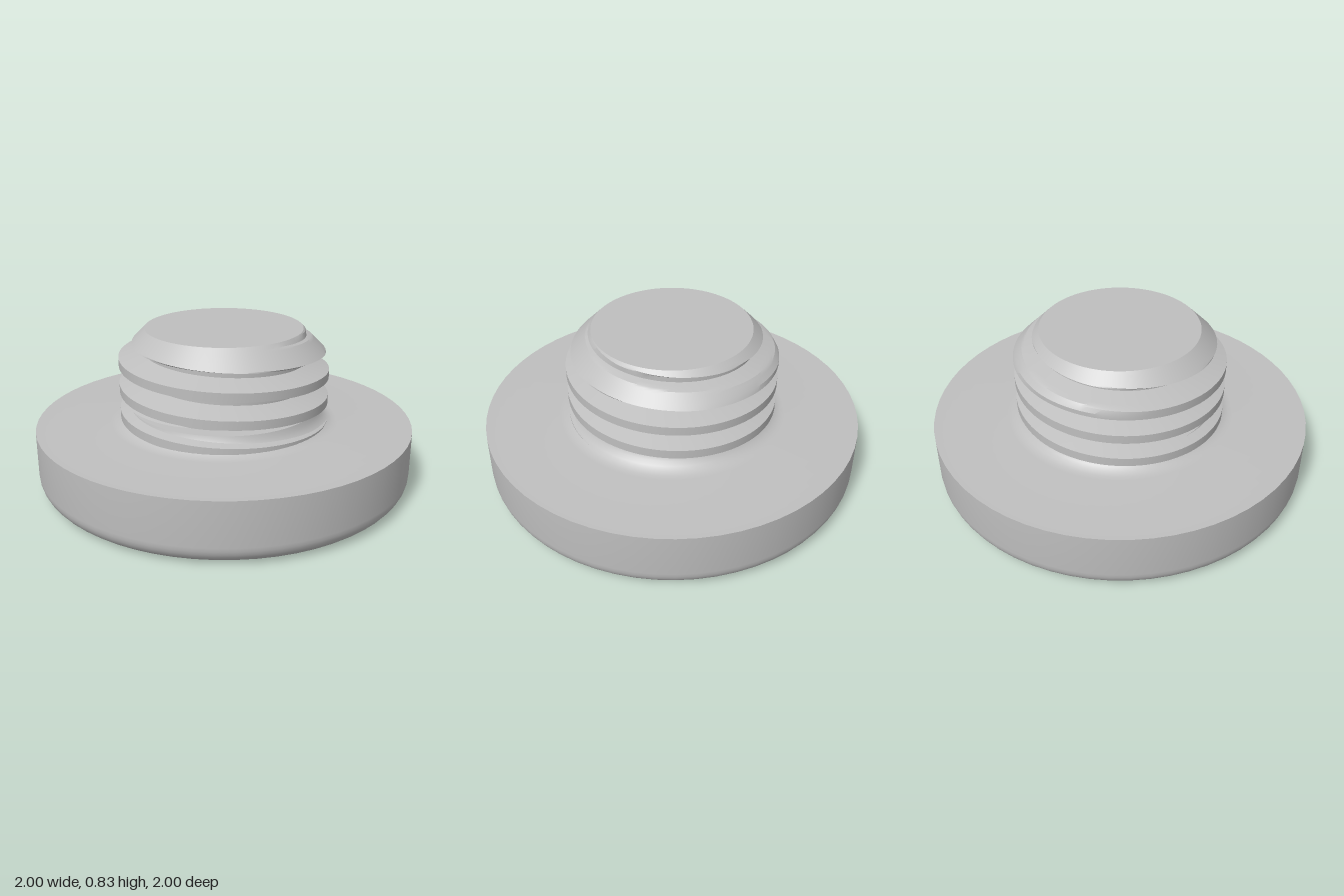
import * as THREE from 'three';
import { toCreasedNormals } from 'three/addons/utils/BufferGeometryUtils.js';

const HEAD_TOP = 0.33, TOP = 0.835, TIP_RADIUS = 0.415;
const PITCH = 0.14, ROOT = 0.43, CREST = 0.555;

// Head with a rounded lower edge, running into the concave neck fillet
function headGeometry() {
  const pts = [];
  for (let i = 0; i <= 8; i++) {
    const a = (i / 8) * Math.PI / 2;
    pts.push(new THREE.Vector2(0.9 + 0.1 * Math.sin(a), 0.1 - 0.1 * Math.cos(a)));
  }
  pts.push(new THREE.Vector2(1, HEAD_TOP));
  const R = 0.11;
  for (let i = 0; i <= 6; i++) {
    const a = (i / 6) * 1.38;
    pts.push(new THREE.Vector2(0.5 + R - R * Math.sin(a), HEAD_TOP + R - R * Math.cos(a)));
  }
  pts.push(new THREE.Vector2(0.42, 0.42));
  return toCreasedNormals(new THREE.LatheGeometry(pts, 64), 0.5);
}

// Plus-shaped outline of the driver recess
function crossPoints(l, w) {
  return [[w, w], [w, l], [-w, l], [-w, w], [-l, w], [-l, -w],
    [-w, -w], [-w, -l], [w, -l], [w, -w], [l, -w], [l, w]]
    .map(([x, y]) => new THREE.Vector2(x, y));
}

// Helical thread: rows follow the helix, trimmed by the tip chamfer
function threadGeometry() {
  const bottom = HEAD_TOP - 0.005, segments = 96;
  const rows = [];
  for (let k = -3; k <= 3; k++) {
    const base = 0.48 + PITCH * k;
    for (let i = 0; i <= 6; i++) {
      rows.push([base - 0.057 + 0.034 * i / 6, ROOT + (CREST - ROOT) * i / 6]);
    }
    rows.push([base, CREST]);
    for (let i = 0; i <= 6; i++) {
      rows.push([base + 0.023 + 0.034 * i / 6, CREST - (CREST - ROOT) * i / 6]);
    }
  }
  const pos = [], index = [], n = rows.length;
  for (let s = 0; s <= segments; s++) {
    const turn = s / segments, a = turn * Math.PI * 2;
    for (const [h, radius] of rows) {
      const y = THREE.MathUtils.clamp(h + PITCH * turn, bottom, TOP);
      const r = Math.min(radius, TIP_RADIUS + TOP - y);
      pos.push(r * Math.cos(a), y, r * Math.sin(a));
    }
  }
  for (let s = 0; s < segments; s++) {
    for (let j = 0; j < n - 1; j++) {
      const p = s * n + j, q = p + n;
      const ys = [p, p + 1, q, q + 1].map((v) => pos[v * 3 + 1]);
      if (Math.min(...ys) >= TOP || Math.max(...ys) <= bottom) continue;
      index.push(p, p + 1, q, q, p + 1, q + 1);
    }
  }
  const g = new THREE.BufferGeometry();
  g.setAttribute('position', new THREE.Float32BufferAttribute(pos, 3));
  g.setIndex(index);
  return toCreasedNormals(g, 0.4);
}

export function createModel() {
  const group = new THREE.Group();
  const steel = new THREE.MeshStandardMaterial({ color: 0xbfbfbf });
  steel.name = 'steelGrey';
  const add = (name, geometry) => {
    const mesh = new THREE.Mesh(geometry, steel);
    mesh.name = name;
    group.add(mesh);
    return mesh;
  };

  add('head', headGeometry());
  add('thread', threadGeometry());
  add('threadTip', new THREE.CircleGeometry(TIP_RADIUS, 96).rotateX(-Math.PI / 2)).position.y = TOP;

  // Underside of the head, pierced by the recess
  const cross = crossPoints(0.135, 0.036);
  const disc = new THREE.Shape().absarc(0, 0, 0.9, 0, Math.PI * 2);
  disc.holes.push(new THREE.Path(cross));
  add('headFace', new THREE.ShapeGeometry(disc, 32).rotateX(Math.PI / 2));

  // Recess walls and floor: an extrusion turned inside out by mirroring
  const recess = new THREE.ExtrudeGeometry(new THREE.Shape(cross), { depth: 0.18, bevelEnabled: false });
  const p = recess.attributes.position;
  for (let i = 0; i < p.count; i++) p.setZ(i, -p.getZ(i));
  recess.computeVertexNormals();
  add('crossRecess', recess.rotateX(Math.PI / 2));

  return group;
}
